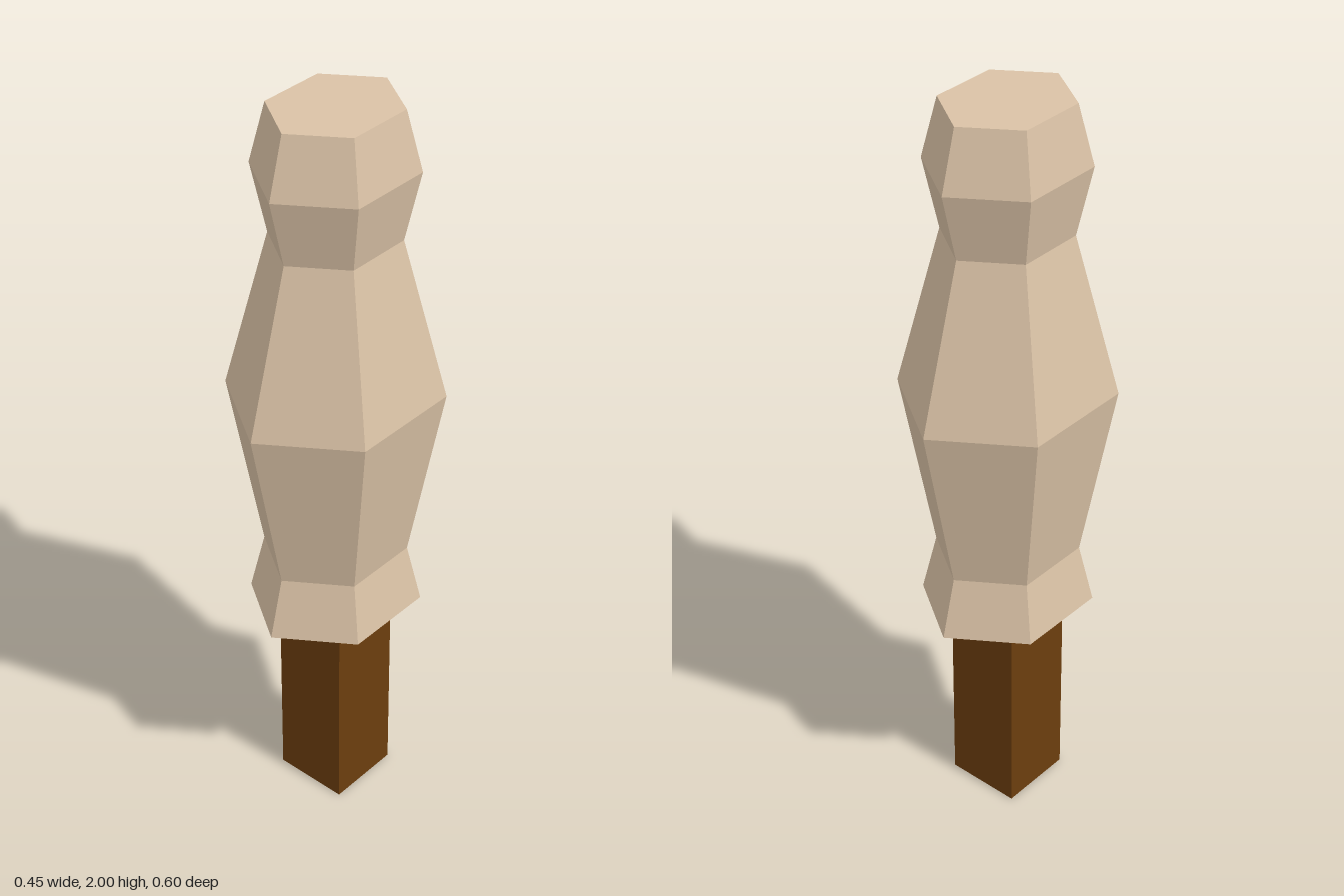
import * as THREE from 'three';

export function createModel() {
  const group = new THREE.Group();
  const paleWood = new THREE.MeshStandardMaterial({ color: 0xdac2a6, flatShading: true });
  const darkWood = new THREE.MeshStandardMaterial({ color: 0x6c3e0e, flatShading: true });
  paleWood.name = 'paleWood';
  darkWood.name = 'darkWood';

  // Six-sided turned grip: [radius, height] from the flared collar to the flat pommel
  const profile = [
    [0, 0.6], [0.247, 0.6], [0.205, 0.76], [0.302, 1.237],
    [0.178, 1.665], [0.222, 1.845], [0.178, 2], [0, 2],
  ].map(([r, y]) => new THREE.Vector2(r, y));
  const gripGeometry = new THREE.LatheGeometry(profile, 6).toNonIndexed();
  gripGeometry.scale(0.857, 1, 1); // slightly narrower across the sides
  gripGeometry.computeVertexNormals();
  const grip = new THREE.Mesh(gripGeometry, paleWood);
  grip.name = 'grip';

  // Square post, its top seated just inside the collar
  const post = new THREE.Mesh(new THREE.BoxGeometry(0.204, 0.61, 0.204), darkWood);
  post.position.y = 0.305;
  post.name = 'post';

  group.add(grip, post);
  return group;
}
